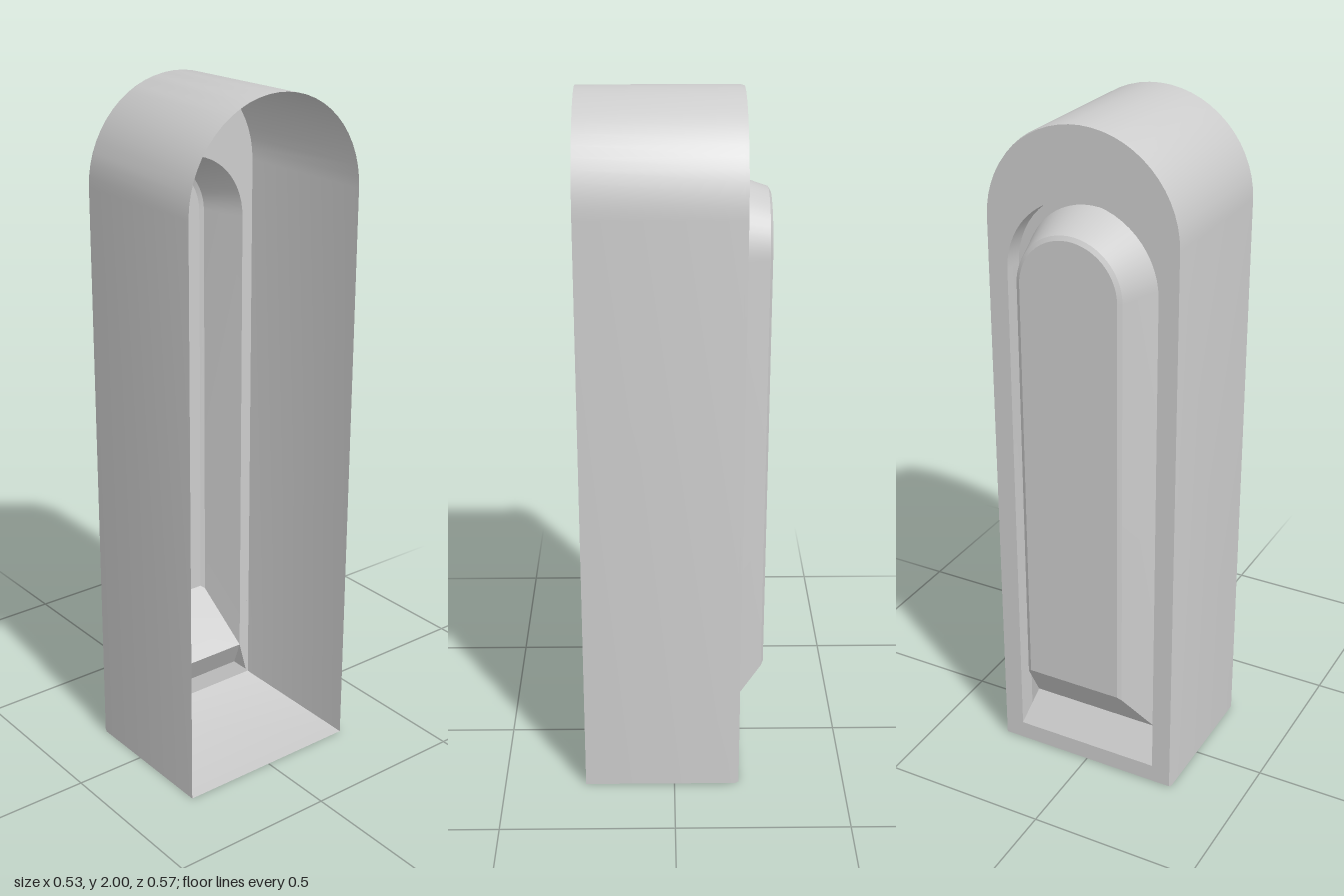
import * as THREE from 'three';
import { toCreasedNormals } from 'three/addons/utils/BufferGeometryUtils.js';

const SEGMENTS = 28;

// Round-topped outline at depth x; bottomX lets the bottom edge sit at another depth.
function archRing(x, half, springY, bottomY, bottomX = x) {
  const ring = [
    new THREE.Vector3(bottomX, bottomY, half),
    new THREE.Vector3(bottomX, bottomY, -half),
    new THREE.Vector3(x, bottomY, -half),
  ];
  for (let i = 0; i <= SEGMENTS; i++) {
    const a = Math.PI * i / SEGMENTS;
    ring.push(new THREE.Vector3(x, springY + half * Math.sin(a), -half * Math.cos(a)));
  }
  ring.push(new THREE.Vector3(x, bottomY, half));
  return ring;
}

// Skin a series of outlines, leaving out collapsed triangles.
function loft(rings) {
  const positions = [];
  const addFace = (a, b, c) => {
    if (new THREE.Triangle(a, b, c).getArea() < 1e-8) return;
    for (const p of [a, b, c]) positions.push(p.x, p.y, p.z);
  };
  for (let r = 0; r < rings.length - 1; r++) {
    const near = rings[r], far = rings[r + 1];
    for (let i = 0; i < near.length; i++) {
      const j = (i + 1) % near.length;
      addFace(near[i], far[i], near[j]);
      addFace(near[j], far[i], far[j]);
    }
  }
  const geometry = new THREE.BufferGeometry();
  geometry.setAttribute('position', new THREE.Float32BufferAttribute(positions, 3));
  return toCreasedNormals(geometry, Math.PI / 7);
}

export function createModel() {
  const group = new THREE.Group();
  group.name = 'archedHousing';
  const material = new THREE.MeshStandardMaterial({ color: 0xcccccc, side: THREE.DoubleSide });

  const addPart = (name, rings) => {
    const mesh = new THREE.Mesh(loft(rings), material);
    mesh.name = name;
    group.add(mesh);
  };

  const opening = archRing(-0.19, 0.226, 1.574, 0.06);
  const recessFloor = archRing(-0.13, 0.2, 1.57, 0.16);

  // Thin open-ended shell with a small bevel and a flat face around the opening
  addPart('shell', [
    archRing(0.262, 0.287, 1.713, 0),
    archRing(-0.18, 0.287, 1.713, 0),
    archRing(-0.19, 0.284, 1.713, 0.004),
    opening,
  ]);

  // Sunken channel with a sloping sill
  addPart('recess', [
    opening,
    archRing(-0.13, 0.226, 1.574, 0.06, -0.19),
    recessFloor,
  ]);

  // Tapered panel rising out of the channel, closed by a flat face
  addPart('raisedPanel', [
    recessFloor,
    archRing(-0.257, 0.157, 1.57, 0.325),
    archRing(-0.264, 0.145, 1.57, 0.335),
    archRing(-0.264, 0, 1, 1),
  ]);

  return group;
}
